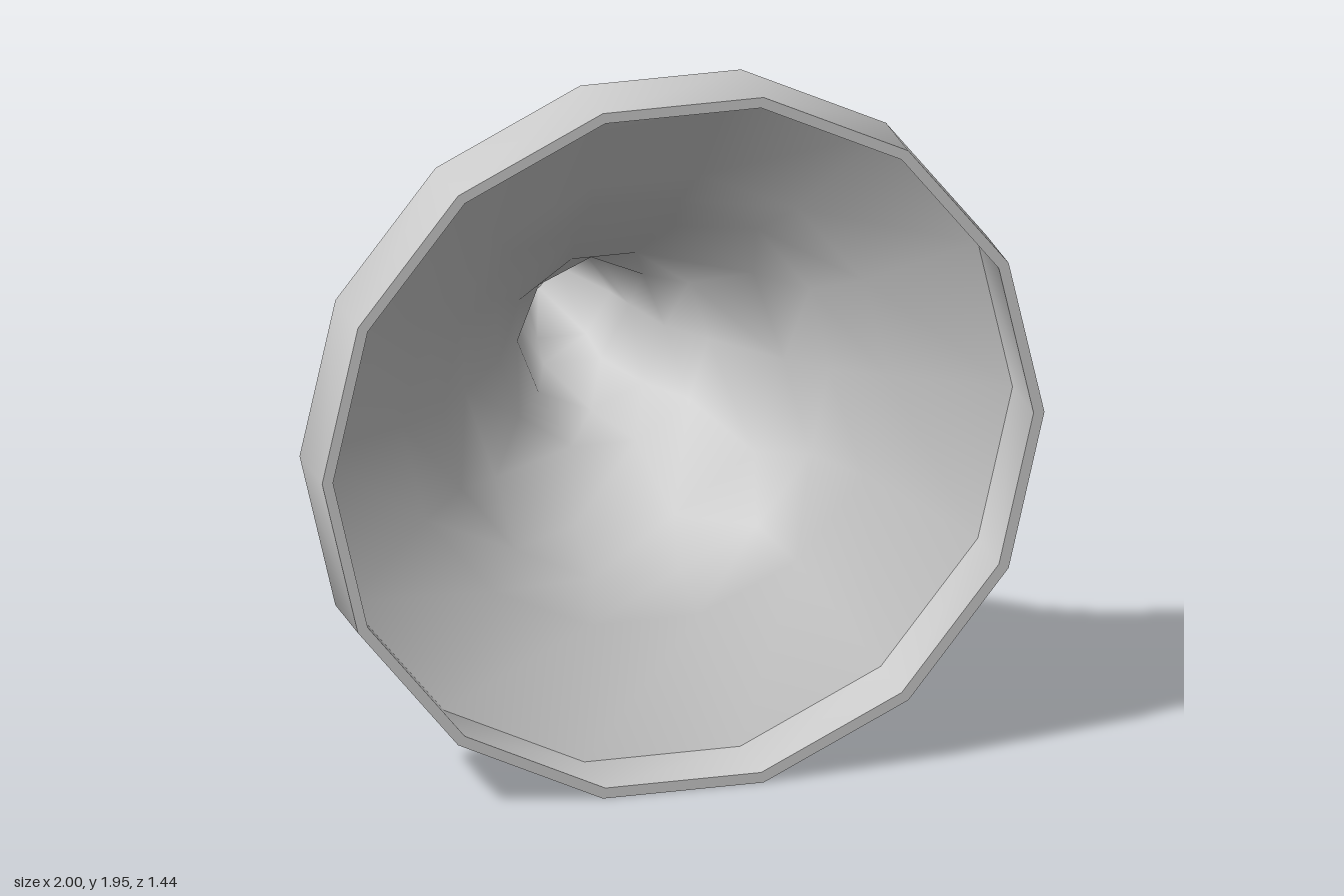
import * as THREE from 'three';

const CENTRE_Y = 0.975;
const material = new THREE.MeshStandardMaterial({ color: 0xcccccc });

// Outer flare, front to back: [z, x radius, y radius, sides]
const FLARE = [
  [0.5, 1, 1, 14],
  [0.32, 0.69, 0.657, 14],
  [0.235, 0.555, 0.56, 14],
  [0.13, 0.465, 0.456, 10],
  [-0.07, 0.315, 0.305, 10],
  [-0.19, 0.232, 0.245, 8],
  [-0.37, 0.188, 0.196, 6],
  [-0.47, 0.165, 0.157, 6],
  [-0.72, 0.11, 0.11, 6],
];
const WALL = 0.03;

// Skin over rings that may have different numbers of sides
function skin(rings) {
  const positions = [], index = [], starts = [];
  for (const [z, rx, ry, n] of rings) {
    starts.push(positions.length / 3);
    for (let i = 0; i < n; i++) {
      const a = (i / n) * Math.PI * 2;
      positions.push(rx * Math.cos(a), ry * Math.sin(a), z);
    }
  }
  for (let k = 0; k < rings.length - 1; k++) {
    const n = rings[k][3], m = rings[k + 1][3];
    const A = (i) => starts[k] + (i % n);
    const B = (j) => starts[k + 1] + (j % m);
    let i = 0, j = 0;
    while (i < n || j < m) {
      if (j >= m || (i < n && (i + 0.5) / n <= (j + 0.5) / m)) {
        index.push(A(i), B(j), A(i + 1));
        i++;
      } else {
        index.push(A(i), B(j), B(j + 1));
        j++;
      }
    }
  }
  const geometry = new THREE.BufferGeometry();
  geometry.setAttribute('position', new THREE.Float32BufferAttribute(positions, 3));
  geometry.setIndex(index);
  geometry.computeVertexNormals();
  return geometry;
}

// Inner flare: each ring moved inward along the profile normal
function innerRings() {
  return FLARE.map(([z, rx, ry, n], k) => {
    if (k === 0) return [0.515, 0.97, 0.97, n];
    if (k === FLARE.length - 1) return [z + WALL, 0.055, 0.055, 4];
    const before = FLARE[k - 1], after = FLARE[k + 1];
    const dz = before[0] - after[0], dr = before[1] - after[1];
    const length = Math.hypot(dz, dr);
    const inset = (WALL * dz) / length;
    return [z + (WALL * dr) / length, rx - inset, ry - inset, n];
  });
}

export function createModel() {
  const group = new THREE.Group();
  group.name = 'horn';
  const add = (name, geometry) => {
    const mesh = new THREE.Mesh(geometry, material);
    mesh.name = name;
    mesh.position.y = CENTRE_Y;
    group.add(mesh);
  };

  const inner = innerRings();
  const rimOuter = [0.72, 1, 1, 14];
  const rimInner = [0.72, 0.97, 0.97, 14];

  // Bell: straight rim, flare and flat front lip
  add('rimOutside', skin([rimOuter, FLARE[0]]));
  add('flareOutside', skin(FLARE));
  add('lip', skin([rimInner, rimOuter]));

  // Inside runs back to front so its faces look inward
  add('rimInside', skin([inner[0], rimInner]));
  add('flareInside', skin([...inner].reverse()));

  // Closed narrow end and the small floor inside it
  add('endCap', new THREE.CircleGeometry(0.11, 6).rotateY(Math.PI).translate(0, 0, -0.72));
  add('throatFloor', new THREE.CircleGeometry(0.055, 4).translate(0, 0, -0.72 + WALL));

  return group;
}
